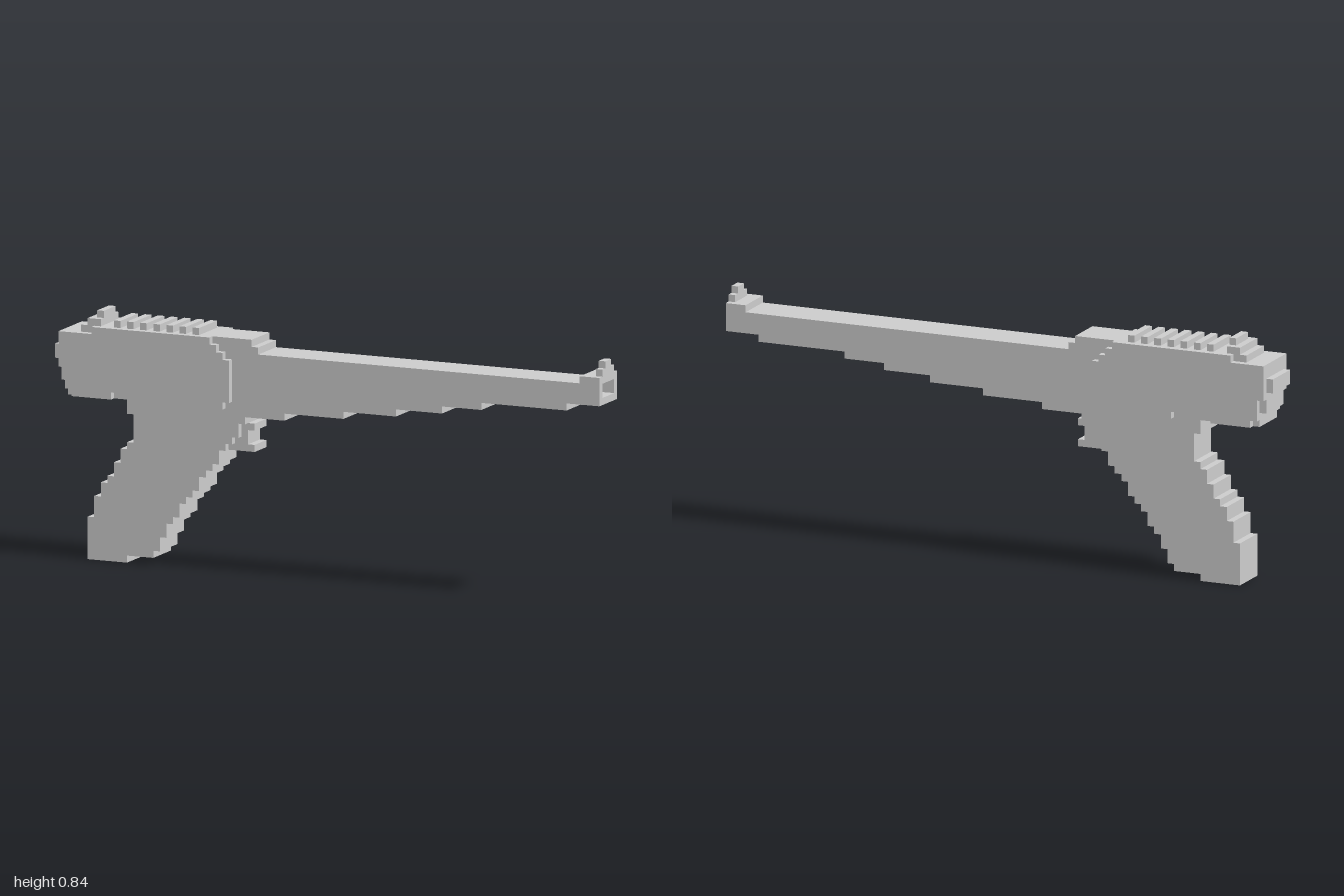
import * as THREE from 'three';

const U = 2 / 83; // one grid step along x and y
const W = 0.0235; // one grid step across z
const material = new THREE.MeshStandardMaterial({ color: 0xcccccc, flatShading: true });

// Stepped outline: each entry is reached by a horizontal, then a vertical move
function steppedShape(start, steps) {
  const points = [new THREE.Vector2(...start)];
  let y = start[1];
  for (const [nx, ny] of steps) {
    points.push(new THREE.Vector2(nx, y), new THREE.Vector2(nx, ny));
    y = ny;
  }
  points.pop(); // the last point repeats the start
  return new THREE.Shape(points);
}

export function createModel() {
  const group = new THREE.Group();

  const add = (name, geometry) => {
    const mesh = new THREE.Mesh(geometry, material);
    mesh.name = name;
    group.add(mesh);
    return mesh;
  };

  // Flat slab from z0 to z1 with a stepped outline
  const slab = (name, z0, z1, start, steps) => {
    const g = new THREE.ExtrudeGeometry(steppedShape(start, steps), { depth: z1 - z0, bevelEnabled: false });
    g.translate(-41.5, 0, z0);
    g.scale(U, U, W);
    return add(name, g);
  };

  // Block given by grid ranges, centred on z
  const block = (name, x0, x1, y0, y1, halfWidth) => {
    const g = new THREE.BoxGeometry((x1 - x0) * U, (y1 - y0) * U, halfWidth * 2 * W);
    g.translate(((x0 + x1) / 2 - 41.5) * U, ((y0 + y1) / 2) * U, 0);
    return add(name, g);
  };

  // Grip, barrel and receiver core in one outline
  slab('gripBarrelAndReceiver', -3, 3, [5, 0], [
    // front of the grip
    [11, 1], [15, 2], [16, 4], [17, 6], [18, 7], [19, 9], [20, 10], [21, 11], [22, 13],
    [23, 14], [24, 15], [25, 17], [26, 18], [27, 19], [28, 21], [29, 22],
    // tapering underside of the barrel
    [35, 23], [44, 24], [52, 25], [59, 26], [65, 27], [78, 28],
    // top and rear, with the recess under the rear
    [80, 31], [31, 32], [30, 33], [4, 32], [1, 25], [2, 23], [3, 24], [9, 23],
    // back of the grip
    [11, 21], [12, 17], [11, 16], [10, 14], [9, 12], [8, 11], [7, 9], [6, 6], [5, 0],
  ]);

  // Raised side panels
  const panel = [
    [9, 24], [15, 23], [26, 24], [27, 30], [26, 31], [25, 32], [24, 33],
    [6, 32], [1, 27], [2, 24], [3, 23],
  ];
  slab('frontSidePanel', 3, 4, [3, 23], panel);
  slab('backSidePanel', -4, -3, [3, 23], panel);

  // Trigger
  slab('trigger', -2, 2, [25, 17], [[30, 18], [29, 20], [30, 21], [25, 17]]);

  // Hollow muzzle
  const muzzle = steppedShape([-3, 28], [[3, 32], [-3, 28]]);
  muzzle.holes.push(steppedShape([-2, 29], [[2, 31], [-2, 29]]));
  const muzzleGeometry = new THREE.ExtrudeGeometry(muzzle, { depth: 3, bevelEnabled: false });
  muzzleGeometry.scale(W, U, U);
  muzzleGeometry.rotateY(Math.PI / 2);
  muzzleGeometry.translate(38.5 * U, 0, 0);
  add('muzzle', muzzleGeometry);

  // Sights
  block('frontSightBase', 82, 83, 32, 33, 2);
  block('frontSightTip', 82, 83, 33, 34, 1);
  block('rearSightBase', 5, 7, 33, 34, 3);
  block('rearSightTip', 6, 7, 34, 35, 2);

  // Ribs along the top
  for (let x = 9; x <= 21; x += 2) block('topRib', x, x + 1, 33, 34, 3);

  // Knob at the rear
  block('rearKnob', 0, 1, 28, 30, 3);

  return group;
}
